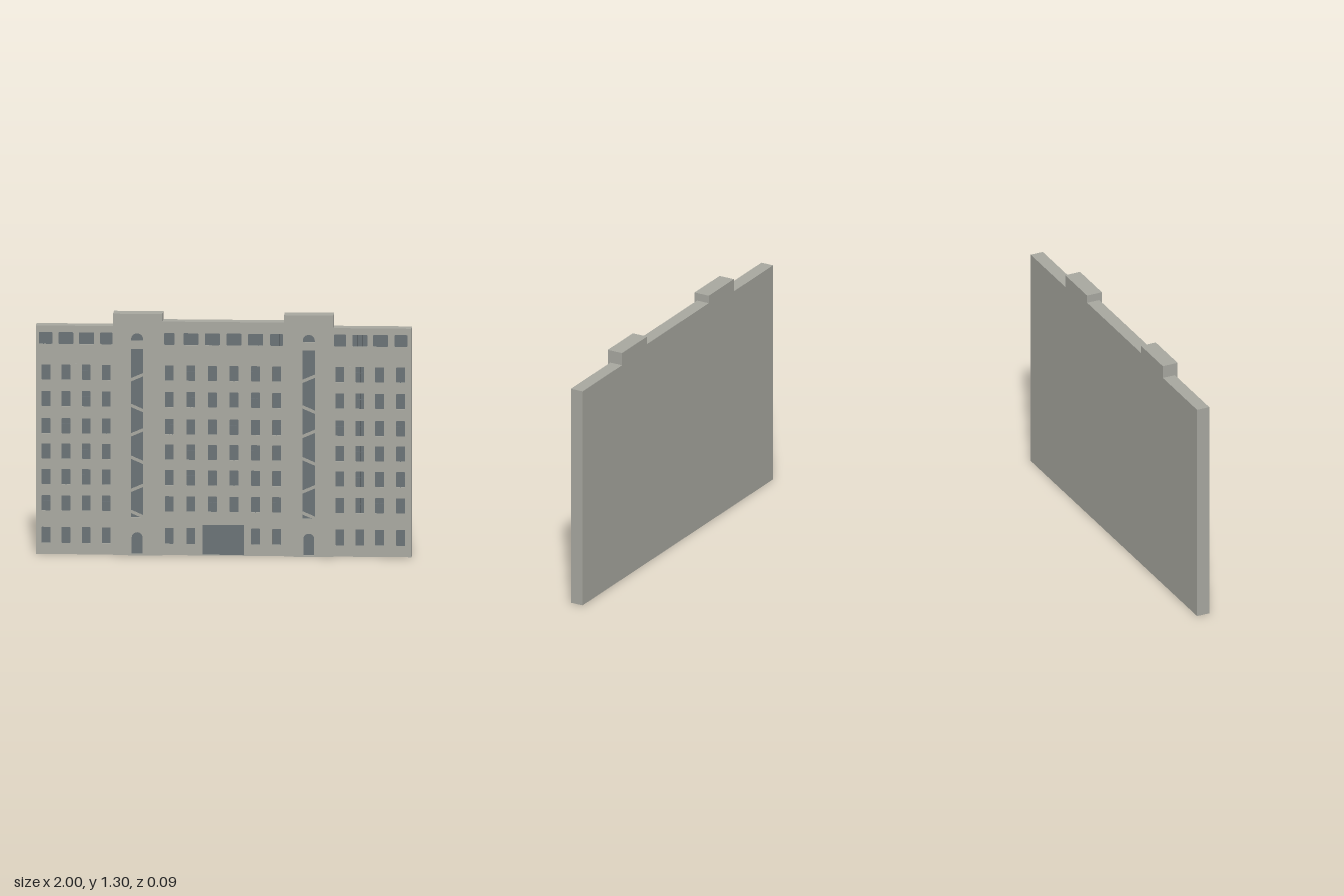
import * as THREE from 'three';

const BACK = -0.044, WALL_Z = 0.028, TOWER_Z = 0.044, RECESS = 0.009;

const wallMat = new THREE.MeshStandardMaterial({ color: 0xa8a8a0 });
wallMat.name = 'concrete';
const glassMat = new THREE.MeshStandardMaterial({ color: 0x687074 });
glassMat.name = 'darkGlass';

// Opening outline with rounded corners or an arched head, drawn into a Shape or Path
function outline(path, o) {
  const x0 = o.x - o.w / 2, x1 = o.x + o.w / 2, { y0, y1 } = o;
  if (o.arch) {
    const r = o.w / 2, spring = y1 - r;
    path.moveTo(x0, y0).lineTo(x1, y0).lineTo(x1, spring);
    path.absarc(o.x, spring, r, 0, Math.PI, false);
    path.lineTo(x0, y0);
    return path;
  }
  const r = o.r || 0;
  if (!r) return path.moveTo(x0, y0).lineTo(x1, y0).lineTo(x1, y1).lineTo(x0, y1).lineTo(x0, y0);
  path.moveTo(x0 + r, y0).lineTo(x1 - r, y0).quadraticCurveTo(x1, y0, x1, y0 + r);
  path.lineTo(x1, y1 - r).quadraticCurveTo(x1, y1, x1 - r, y1);
  path.lineTo(x0 + r, y1).quadraticCurveTo(x0, y1, x0, y1 - r);
  path.lineTo(x0, y0 + r).quadraticCurveTo(x0, y0, x0 + r, y0);
  return path;
}

function box(name, mat, x0, x1, y0, y1, z0, z1) {
  const mesh = new THREE.Mesh(new THREE.BoxGeometry(x1 - x0, y1 - y0, z1 - z0), mat);
  mesh.position.set((x0 + x1) / 2, (y0 + y1) / 2, (z0 + z1) / 2);
  mesh.name = name;
  return mesh;
}

// Solid block faced by a pierced skin, with a glass pane set into each opening
function block(name, x0, x1, height, front, openings) {
  const group = new THREE.Group();
  group.name = name;
  const skinBack = front - RECESS;
  group.add(box('core', wallMat, x0, x1, 0, height, BACK, skinBack));

  const skin = outline(new THREE.Shape(), { x: (x0 + x1) / 2, w: x1 - x0, y0: 0, y1: height });
  for (const o of openings) skin.holes.push(outline(new THREE.Path(), o));
  const facade = new THREE.Mesh(
    new THREE.ExtrudeGeometry(skin, { depth: RECESS, bevelEnabled: false, curveSegments: 6 }), wallMat);
  facade.position.z = skinBack;
  facade.name = 'facade';
  group.add(facade);

  for (const o of openings) {
    const pane = new THREE.Mesh(
      new THREE.ShapeGeometry(outline(new THREE.Shape(), o), 6), glassMat);
    pane.position.z = skinBack + 0.002;
    pane.name = o.name;
    group.add(pane);
    // Mullions and a transom standing proud of the glass
    for (let i = 1; i <= (o.bars || 0); i++) {
      const bx = o.x - o.w / 2 + (o.w * i) / (o.bars + 1);
      group.add(box('mullion', glassMat, bx - 0.002, bx + 0.002, o.y0, o.y1, skinBack, skinBack + 0.005));
    }
    if (o.transom) {
      const by = o.y0 + (o.y1 - o.y0) * 0.6;
      group.add(box('transom', glassMat, o.x - o.w / 2, o.x + o.w / 2, by - 0.002, by + 0.002, skinBack, skinBack + 0.005));
    }
  }
  return group;
}

// Bottom edges of the repeated window rows
const ROWS = [0.235, 0.377, 0.515, 0.652, 0.799, 0.942];

function windowGrid(columns, groundColumns, topWindows) {
  const list = [];
  for (const x of columns)
    for (const y0 of ROWS)
      list.push({ name: 'window', x, w: 0.047, y0, y1: y0 + 0.083, r: 0.004, bars: 1, transom: true });
  for (const x of groundColumns)
    list.push({ name: 'groundWindow', x, w: 0.047, y0: 0.06, y1: 0.147, r: 0.004 });
  for (const [x, w] of topWindows)
    list.push({ name: 'atticWindow', x, w, y0: 1.135, y1: 1.2, r: 0.007, bars: 2 });
  return list;
}

function tower(name, x0, x1, cx) {
  const group = block(name, x0, x1, 1.305, TOWER_Z, [
    { name: 'stairWindow', x: cx, w: 0.065, y0: 0.205, y1: 1.115 },
    { name: 'archedDoor', x: cx, w: 0.058, y0: 0.008, y1: 0.125, arch: true },
    { name: 'lunette', x: cx, w: 0.064, y0: 1.16, y1: 1.2, arch: true },
  ]);
  // Stair flights crossing the tall window, alternating in slope
  [0.962, 0.795, 0.664, 0.515, 0.364, 0.222].forEach((y, i) => {
    const rise = i % 2 ? -0.014 : 0.014, h = 0.009;
    const s = new THREE.Shape();
    s.moveTo(-0.0325, -rise - h).lineTo(0.0325, rise - h);
    s.lineTo(0.0325, rise + h).lineTo(-0.0325, -rise + h).closePath();
    const flight = new THREE.Mesh(
      new THREE.ExtrudeGeometry(s, { depth: 0.004, bevelEnabled: false }), wallMat);
    flight.position.set(cx, y, TOWER_Z - RECESS);
    flight.name = 'stairFlight';
    group.add(flight);
  });
  return group;
}

export function createModel() {
  const model = new THREE.Group();
  model.name = 'apartmentBlock';

  // Side wings
  const rightCols = [-0.946, -0.84, -0.732, -0.625];
  const leftCols = [0.618, 0.725, 0.83, 0.942];
  model.add(block('rightWing', -1, -0.588, 1.235, WALL_Z, windowGrid(rightCols, rightCols,
    [[-0.948, 0.072], [-0.84, 0.08], [-0.73, 0.08], [-0.625, 0.065]])));
  model.add(block('leftWing', 0.585, 1, 1.235, WALL_Z, windowGrid(leftCols, leftCols,
    [[0.62, 0.065], [0.725, 0.08], [0.835, 0.08], [0.944, 0.07]])));

  // Central range with the main entrance
  const cols = [-0.29, -0.175, -0.06, 0.055, 0.17, 0.282];
  const centreOpenings = windowGrid(cols, [cols[0], cols[1], cols[4], cols[5]],
    cols.map((x, i) => [x, i === 0 ? 0.056 : i === 5 ? 0.07 : 0.08]));
  centreOpenings.push({ name: 'mainEntrance', x: -0.002, w: 0.222, y0: 0.003, y1: 0.165 });
  model.add(block('centralRange', -0.325, 0.322, 1.262, WALL_Z, centreOpenings));

  // Stair towers
  model.add(tower('rightTower', -0.588, -0.325, -0.46));
  model.add(tower('leftTower', 0.322, 0.585, 0.454));

  // Slim vertical ribs between window columns
  for (const x of [-0.786, -0.679, -0.233, 0.226, 0.672, 0.778])
    model.add(box('rib', wallMat, x - 0.003, x + 0.003, 0.22, 1.03, WALL_Z - 0.001, WALL_Z + 0.003));

  return model;
}
